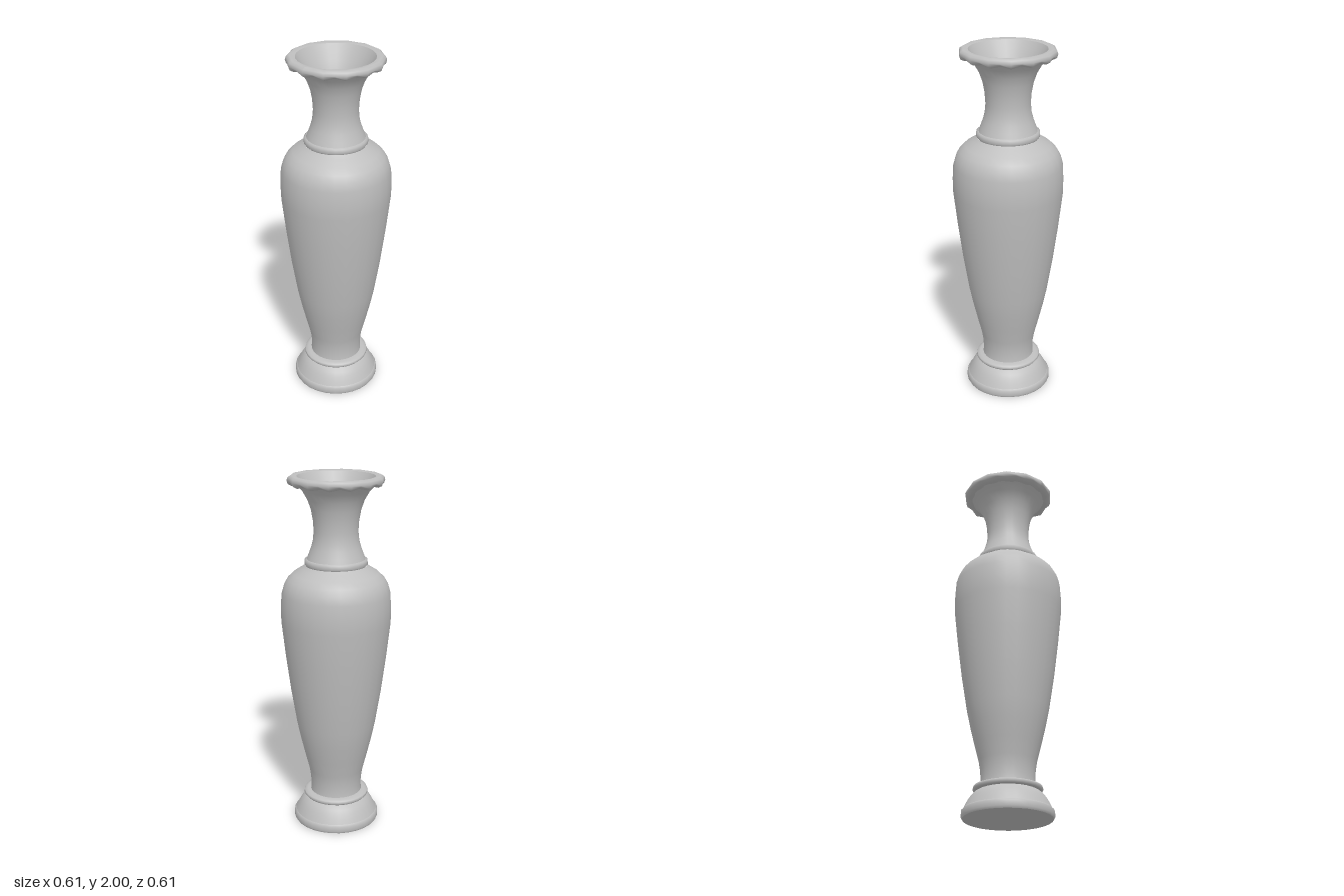
import * as THREE from 'three';

const SIDES = 28;

// Turned section: profile points are [radius, height], running upward on outer faces
function turned(name, profile, material) {
  const points = profile.map(([r, y]) => new THREE.Vector2(r, y));
  const mesh = new THREE.Mesh(new THREE.LatheGeometry(points, SIDES), material);
  mesh.name = name;
  return mesh;
}

export function createModel() {
  const stone = new THREE.MeshStandardMaterial({ color: 0xbfbfbf });
  stone.name = 'grey stone';
  const vase = new THREE.Group();
  vase.name = 'vase';

  // Foot
  vase.add(
    turned('footUnderside', [[0, 0], [0.238, 0]], stone),
    turned('footEdge', [[0.238, 0], [0.245, 0.012], [0.244, 0.04], [0.234, 0.05]], stone),
    turned('foot', [[0.234, 0.05], [0.222, 0.075], [0.208, 0.1], [0.194, 0.12], [0.176, 0.138], [0.162, 0.145]], stone),
    turned('footRing', [[0.162, 0.145], [0.178, 0.147], [0.186, 0.157], [0.183, 0.17], [0.165, 0.176], [0.145, 0.178]], stone),
  );

  // Body and shoulder
  vase.add(turned('body', [
    [0.147, 0.176], [0.144, 0.21], [0.147, 0.26], [0.155, 0.31], [0.178, 0.4], [0.202, 0.5],
    [0.223, 0.6], [0.255, 0.8], [0.281, 1.0], [0.303, 1.2], [0.304, 1.28], [0.299, 1.36],
    [0.286, 1.405], [0.266, 1.44], [0.235, 1.47], [0.19, 1.498], [0.169, 1.515],
  ], stone));

  // Collar and flared neck
  vase.add(
    turned('collar', [[0.165, 1.512], [0.173, 1.522], [0.172, 1.545], [0.158, 1.55]], stone),
    turned('neck', [
      [0.16, 1.548], [0.15, 1.575], [0.137, 1.61], [0.126, 1.65], [0.121, 1.7], [0.125, 1.76],
      [0.136, 1.82], [0.154, 1.87], [0.18, 1.915], [0.215, 1.95],
    ], stone),
  );

  // Scalloped lip
  const lip = turned('lip', [
    [0.205, 1.948], [0.232, 1.948], [0.252, 1.958], [0.258, 1.972], [0.253, 1.988], [0.238, 1.998], [0.21, 1.993],
  ], stone);
  const pos = lip.geometry.attributes.position;
  for (let i = 0; i < pos.count; i++) {
    const x = pos.getX(i), y = pos.getY(i), z = pos.getZ(i);
    const wave = Math.cos(14 * Math.atan2(x, z));
    const outer = Math.hypot(x, z) > 0.22 ? 1 : 0;
    const k = 1 + 0.014 * wave * outer;
    pos.setXYZ(i, x * k, y - (y < 1.965 ? 0.006 * wave * outer : 0), z * k);
  }
  lip.geometry.computeVertexNormals();
  vase.add(lip);

  // Inside of the mouth, with a closed floor in the throat
  vase.add(
    turned('mouth', [
      [0.21, 1.993], [0.188, 1.955], [0.163, 1.91], [0.138, 1.86], [0.117, 1.8], [0.105, 1.74], [0.102, 1.68], [0.106, 1.6],
    ], stone),
    turned('throatFloor', [[0.106, 1.6], [0, 1.6]], stone),
  );

  return vase;
}
